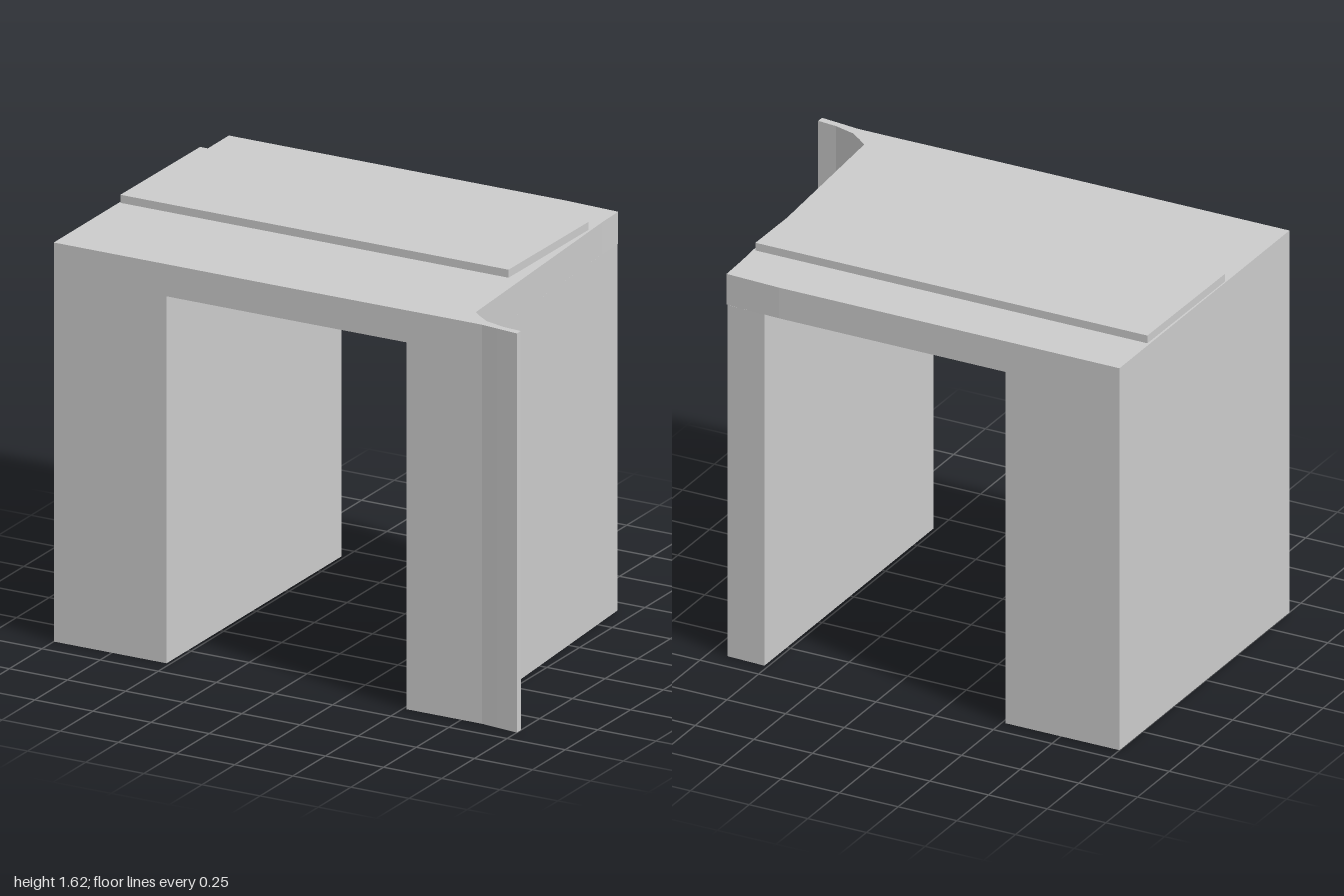
import * as THREE from 'three';

const material = new THREE.MeshStandardMaterial({ color: 0xcccccc, flatShading: true, side: THREE.DoubleSide });

// Raises a plan outline of [x, z] points from height y0 to y1.
function raisePlan(name, plan, y0, y1) {
  const shape = new THREE.Shape(plan.map(([x, z]) => new THREE.Vector2(x, -z)));
  const geometry = new THREE.ExtrudeGeometry(shape, { depth: y1 - y0, bevelEnabled: false });
  geometry.rotateX(-Math.PI / 2);
  geometry.translate(0, y0, 0);
  const mesh = new THREE.Mesh(geometry, material);
  mesh.name = name;
  return mesh;
}

export function createModel() {
  const group = new THREE.Group();
  group.name = 'archway';

  const springY = 1.465, roofY = 1.593, topY = 1.625;
  const inner = 0.515;
  const back = -0.68, front = 0.66;

  // Curved flare sweeping out at the front of the right-hand wall, front to back
  const flare = [
    [0.68, 0.656], [0.84, 0.656], [0.91, 0.665], [1, 0.675],
    [1, 0.645], [0.92, 0.637], [0.835, 0.613], [0.79, 0.58], [0.752, 0.548],
  ];

  // Straight pier
  group.add(raisePlan('straightPier', [
    [-1, front], [-inner, front], [-inner, back], [-1, back],
  ], 0, springY));

  // Tapered pier with the flared front
  group.add(raisePlan('flaredPier', [
    [inner, 0.656], ...flare, [0.676, -0.671], [inner, -0.677],
  ], 0, springY));

  // Roof joining the piers, with a small squared back corner
  group.add(raisePlan('roof', [
    [-1, front], [-0.04, front], [0.45, 0.658], ...flare,
    [0.684, -0.54], [0.68, -0.67], [0.45, back], [-1, back],
  ], springY, roofY));

  // Thin raised slab across the roof
  group.add(raisePlan('roofSlab', [
    [-0.995, 0.16], [0.675, 0.16], [0.68, -0.442], [-0.99, -0.442],
  ], roofY, topY));

  return group;
}
